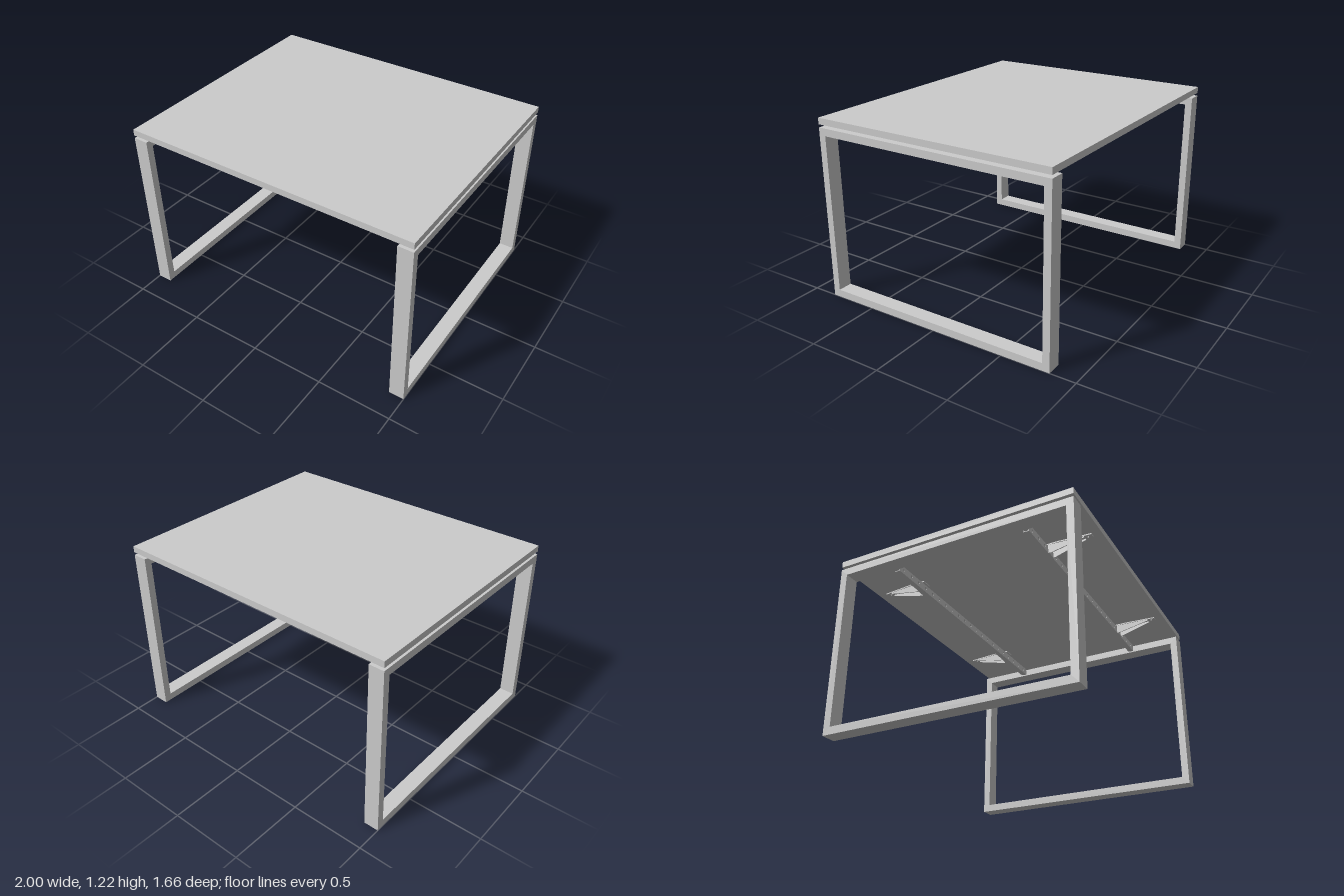
import * as THREE from 'three';

const grey = new THREE.MeshStandardMaterial({ color: 0xcccccc, side: THREE.DoubleSide });

function add(parent, name, geometry, x = 0, y = 0, z = 0) {
  const mesh = new THREE.Mesh(geometry, grey);
  mesh.name = name;
  mesh.position.set(x, y, z);
  parent.add(mesh);
  return mesh;
}

const box = (w, h, d) => new THREE.BoxGeometry(w, h, d);
const extrude = (shape, depth) =>
  new THREE.ExtrudeGeometry(shape, { depth, bevelEnabled: false, curveSegments: 8 });

function polygon(points) {
  return new THREE.Shape(points.map(([x, y]) => new THREE.Vector2(x, y)));
}

function rectangle(x0, y0, x1, y1) {
  return polygon([[x0, y0], [x1, y0], [x1, y1], [x0, y1]]);
}

function punch(shape, x, y, r) {
  const hole = new THREE.Path();
  hole.absarc(x, y, r, 0, Math.PI * 2, true);
  shape.holes.push(hole);
}

// Closed rectangular loop leg, profile in z/y and extruded along x
function legGeometry() {
  const loop = rectangle(-0.83, 0, 0.83, 1.157);
  loop.holes.push(rectangle(-0.782, 0.05, 0.782, 1.108));
  const g = extrude(loop, 0.1);
  g.translate(0, 0, -0.05);
  g.rotateY(Math.PI / 2);
  return g;
}

// Thin hollow rail with a row of holes through both walls
function makeRail() {
  const rail = new THREE.Group();
  rail.name = 'crossRail';
  const wall = rectangle(-0.88, 1.11, 0.88, 1.16);
  for (let i = -10; i <= 10; i++) punch(wall, i * 0.0835, 1.137, 0.009);
  add(rail, 'railOuterWall', extrude(wall, 0.004), 0, 0, 0.482);
  add(rail, 'railInnerWall', extrude(wall, 0.004), 0, 0, 0.45);
  add(rail, 'railTop', box(1.76, 0.004, 0.036), 0, 1.158, 0.468);
  add(rail, 'railBottom', box(1.76, 0.004, 0.036), 0, 1.112, 0.468);
  for (const s of [-1, 1]) add(rail, 'railEndTab', box(0.03, 0.036, 0.03), s * 0.89, 1.135, 0.468);
  return rail;
}

// Tapered support arm reaching outwards from the rail to the top
function makeBracket() {
  const bracket = new THREE.Group();
  bracket.name = 'supportBracket';

  // Flat plate under the top, narrowing to the tip
  const plate = polygon([[-0.035, 0.445], [0.035, 0.445], [0.035, 0.55],
    [0.016, 0.77], [-0.016, 0.77], [-0.035, 0.55]]);
  punch(plate, 0, 0.74, 0.008);
  const plateGeometry = extrude(plate, 0.008);
  plateGeometry.rotateX(Math.PI / 2);
  add(bracket, 'bracketPlate', plateGeometry, 0, 1.177, 0);

  // Sloping side cheeks
  const cheek = polygon([[0, 1.11], [0.02, 1.11], [0.235, 1.16], [0.235, 1.17], [0, 1.17]]);
  for (const s of [-1, 1]) {
    const g = extrude(cheek, 0.006);
    g.translate(0, 0, -0.003);
    g.rotateY(-Math.PI / 2);
    const mesh = add(bracket, 'bracketCheek', g, s * 0.031, 0, 0.487);
    mesh.rotation.y = -s * 0.065;
  }

  // Mounting face against the rail
  const face = rectangle(-0.034, 1.11, 0.034, 1.172);
  punch(face, 0, 1.137, 0.009);
  add(bracket, 'bracketFace', extrude(face, 0.005), 0, 0, 0.486);
  return bracket;
}

export function createModel() {
  const table = new THREE.Group();
  table.name = 'table';

  add(table, 'tableTop', box(2, 0.042, 1.66), 0, 1.198, 0);

  const leg = legGeometry();
  add(table, 'leftLegFrame', leg, 0.95);
  add(table, 'rightLegFrame', leg, -0.95);

  // Rails and brackets, repeated at front and back
  for (const turn of [0, Math.PI]) {
    const side = new THREE.Group();
    side.name = turn ? 'backSupport' : 'frontSupport';
    side.add(makeRail());
    for (const x of [-0.585, 0.585]) {
      const bracket = makeBracket();
      bracket.position.x = x;
      side.add(bracket);
    }
    side.rotation.y = turn;
    table.add(side);
  }
  return table;
}
